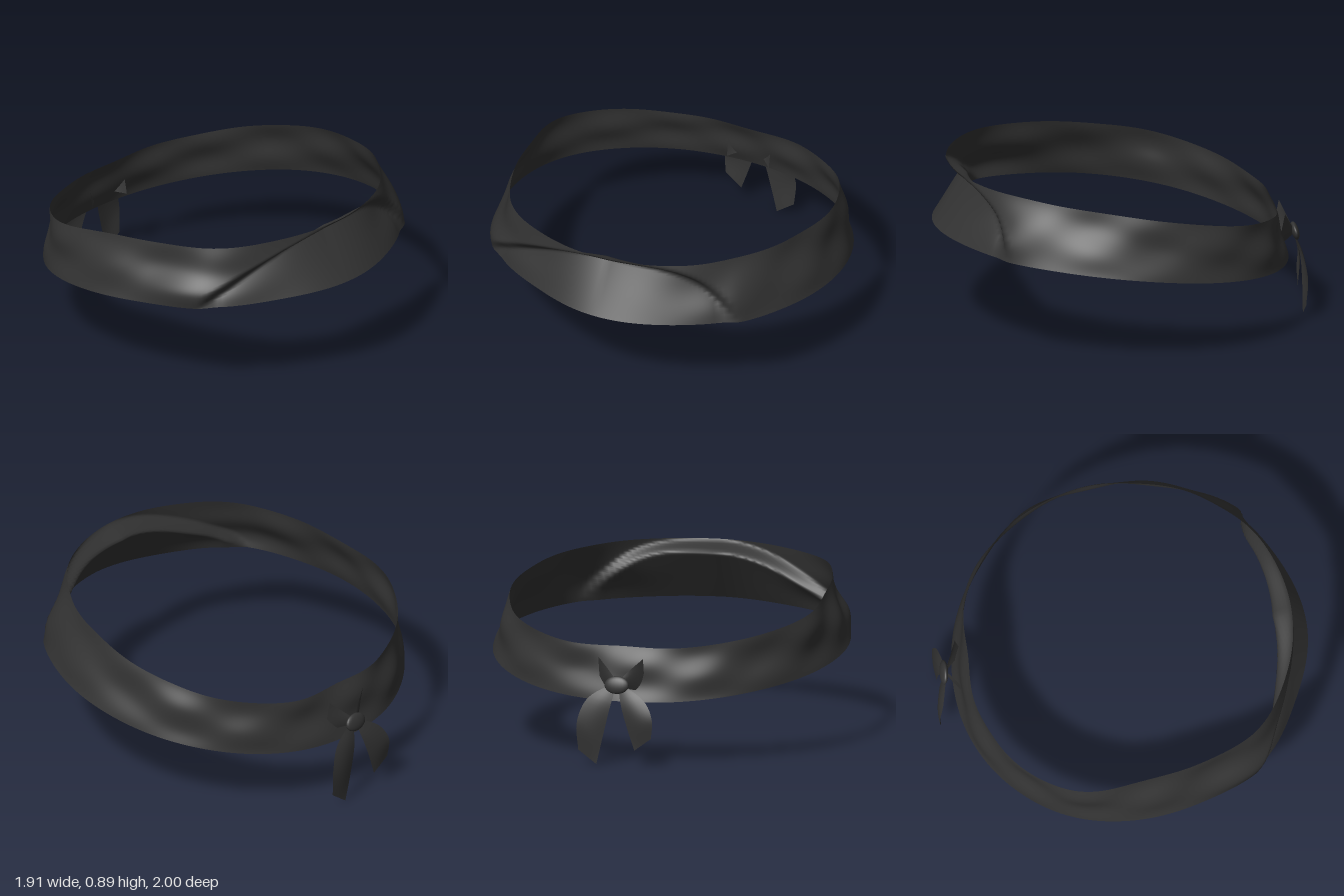
import * as THREE from 'three';

// Smooth sheet from a rule f(u, v) -> Vector3; "closed" joins the ends in u.
function sheet(f, nu, nv, closed = false) {
  const pos = [], idx = [], cols = closed ? nu : nu + 1;
  for (let i = 0; i < cols; i++)
    for (let j = 0; j <= nv; j++) pos.push(...f(i / nu, j / nv).toArray());
  for (let i = 0; i < nu; i++)
    for (let j = 0; j < nv; j++) {
      const a = i * (nv + 1) + j, b = ((i + 1) % cols) * (nv + 1) + j;
      idx.push(a, b, b + 1, a, b + 1, a + 1);
    }
  const g = new THREE.BufferGeometry();
  g.setAttribute('position', new THREE.Float32BufferAttribute(pos, 3));
  g.setIndex(idx);
  g.computeVertexNormals();
  return g;
}

// Bottom and top radius every 22.5 degrees, from the front towards +x
const RADII = [
  [1.0, 0.915], [0.99, 0.895], [0.985, 0.87], [0.97, 0.845],
  [0.955, 0.835], [0.945, 0.865], [0.93, 0.88], [0.915, 0.86],
  [0.905, 0.82], [0.915, 0.86], [0.93, 0.885], [0.95, 0.91],
  [0.955, 0.865], [0.965, 0.865], [0.995, 0.925], [0.985, 0.925],
];
const radii = new THREE.CatmullRomCurve3(
  RADII.map(([b, t]) => new THREE.Vector3(b, t, 0)), true, 'catmullrom', 0.5);

const bottomY = z => 0.5 + 0.127 * z - 0.057 * z * z;
const topY = z => 0.815 + 0.167 * z - 0.081 * z * z;
const bump = (x, centre, width) => Math.exp(-(((x - centre) / width) ** 2));

// Band: tilted, tapering ring with an arched fold across the front
function bandPoint(u, v) {
  const a = u * Math.PI * 2, d = a > Math.PI ? a - Math.PI * 2 : a;
  const { x: rb, y: rt } = radii.getPoint(u % 1);
  let r = THREE.MathUtils.lerp(rb, rt, v);
  // the fold stays level and drops late on the +x side, slopes evenly on the other
  const k = Math.abs(d) / (d > 0 ? 0.8 : 0.86);
  if (k < 1) {
    const crease = 0.8 * (1 - Math.pow(k, d > 0 ? 4 : 1.8)) + 0.001;
    const depth = 0.12 * (1 - 0.6 * k) * Math.min(1, (1 - k) * 9);
    const s = THREE.MathUtils.clamp((v - crease) / 0.2, 0, 1);
    r -= depth * (v < crease
      ? THREE.MathUtils.lerp(0.5 * k * k, 1, v / crease)
      : 1 - s * s * (3 - 2 * s));
  }
  // cloth swells where the fold runs out on both sides
  r += 0.05 * bump(d, -0.8, 0.28) * bump(v, 0.25, 0.28);
  r += 0.03 * bump(d, 0.78, 0.22) * bump(v, 0.25, 0.28);
  // soft wrinkles, fading out at the front and at the lower edge
  const wrinkle = Math.sin(5 * a + 6 * v) + 0.7 * Math.sin(11 * a - 5 * v + 1);
  r += 0.009 * wrinkle * Math.sin(Math.PI * Math.min(1, v * 0.8)) * Math.min(1, k * k);
  // the -x side hangs slightly lower
  const sag = 0.015 * Math.max(0, -Math.sin(a))
    + 0.012 * v * bump(d, -0.75, 0.4);
  const y = THREE.MathUtils.lerp(bottomY(rb * Math.cos(a)), topY(rt * Math.cos(a)), v) - sag;
  return new THREE.Vector3(r * Math.sin(a), y, r * Math.cos(a));
}

// Ribbon spanned between two smooth edges
function ribbon(edgeA, edgeB, n = 16) {
  const [p, q] = [edgeA, edgeB].map(e =>
    new THREE.CatmullRomCurve3(e.map(c => new THREE.Vector3(...c))));
  return sheet((u, v) => {
    const m = p.getPoint(u).lerp(q.getPoint(u), v);
    m.z -= 0.01 * Math.sin(Math.PI * v) * Math.sin(Math.PI * u);
    return m;
  }, n, 6);
}

export function createModel() {
  const cloth = new THREE.MeshStandardMaterial({ color: 0x333333, side: THREE.DoubleSide });
  cloth.name = 'charcoal cloth';
  const model = new THREE.Group();
  model.name = 'headband';
  const add = (name, geometry) => {
    const m = new THREE.Mesh(geometry, cloth);
    m.name = name;
    model.add(m);
    return m;
  };

  add('band', sheet(bandPoint, 224, 32, true));

  // Knot at the back
  const knot = add('knot', new THREE.SphereGeometry(1, 20, 14));
  knot.scale.set(0.068, 0.048, 0.02);
  knot.position.set(0, 0.435, -0.95);
  knot.rotation.x = 0.25;

  // Hanging tails, the left one longer
  add('leftTail', ribbon(
    [[0.01, 0.41, -0.945], [0.03, 0.32, -0.972], [0.07, 0.15, -0.98], [0.105, 0.005, -0.978]],
    [[0.03, 0.44, -0.94], [0.16, 0.355, -0.97], [0.21, 0.23, -0.992], [0.205, 0.08, -0.983]]));
  add('rightTail', ribbon(
    [[-0.01, 0.41, -0.945], [-0.03, 0.33, -0.972], [-0.065, 0.22, -0.983], [-0.108, 0.09, -0.98]],
    [[-0.03, 0.44, -0.94], [-0.165, 0.35, -0.97], [-0.21, 0.26, -0.992], [-0.203, 0.16, -0.985]]));

  // Short flared ends above the knot, tips tucked into the band
  for (const s of [1, -1])
    add(s > 0 ? 'leftKnotEnd' : 'rightKnotEnd', ribbon(
      [[0, 0.45, -0.94], [s * 0.06, 0.51, -0.91], [s * 0.125, 0.57, -0.88]],
      [[s * 0.01, 0.42, -0.94], [s * 0.06, 0.405, -0.895], [s * 0.125, 0.385, -0.842]], 8));

  return model;
}
